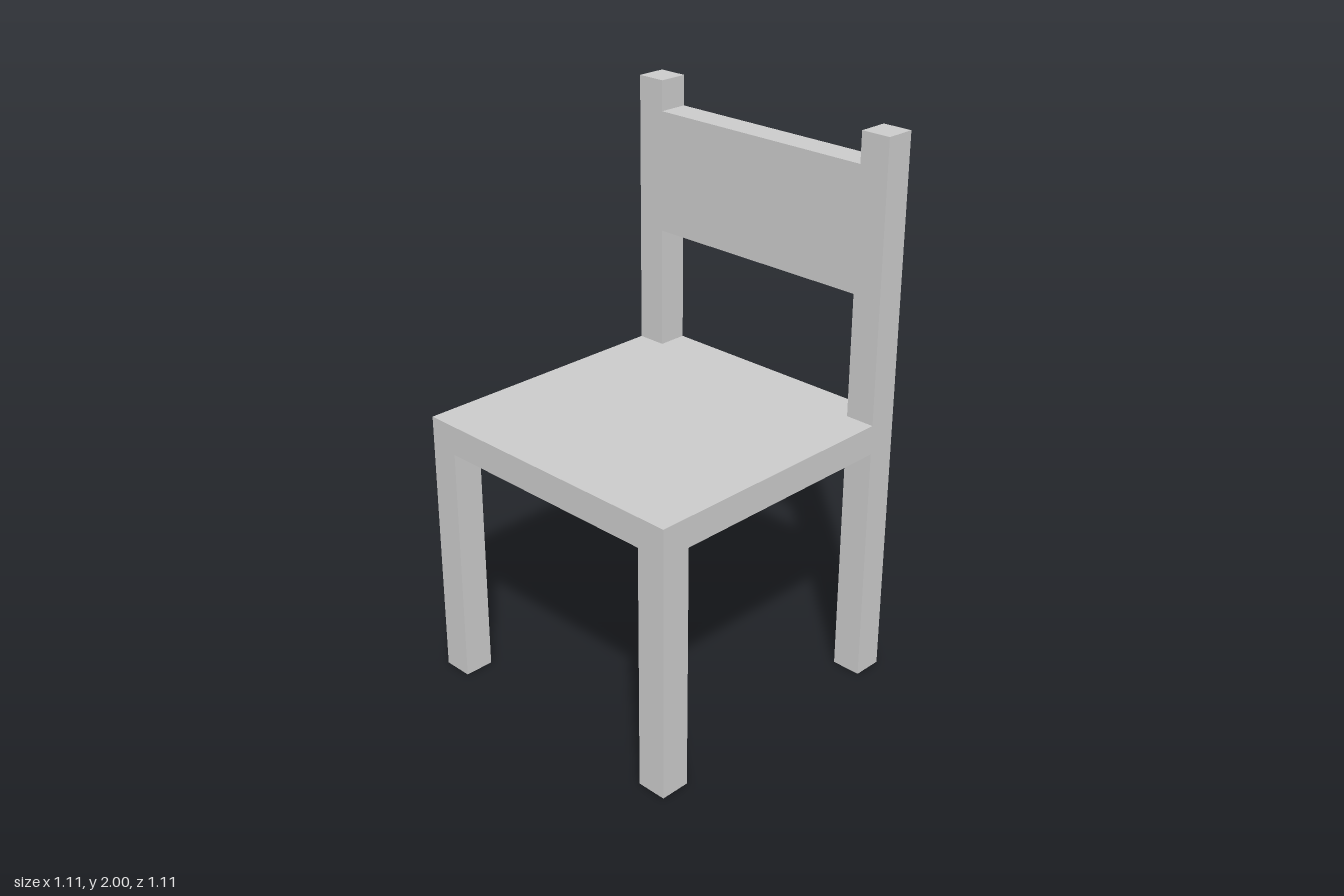
import * as THREE from 'three';

const HALF = 0.555;       // half the width and depth of the seat
const T = 0.11;           // thickness of legs, seat and backrest
const SEAT_TOP = 1.0;
const SEAT_BOTTOM = 0.893;
const INNER = HALF - T;   // inner faces of legs and posts
const CENTRE = HALF - T / 2;

export function createModel() {
  const chair = new THREE.Group();
  chair.name = 'chair';
  const material = new THREE.MeshStandardMaterial({ color: 0xcccccc, flatShading: true });

  // Box of the given width and depth, spanning y0 to y1
  const addBox = (name, width, depth, y0, y1, x, z) => {
    const mesh = new THREE.Mesh(new THREE.BoxGeometry(width, y1 - y0, depth), material);
    mesh.name = name;
    mesh.position.set(x, (y0 + y1) / 2, z);
    chair.add(mesh);
  };

  // Seat slab
  addBox('seat', 2 * HALF, 2 * HALF, SEAT_BOTTOM, SEAT_TOP, 0, 0);

  // Legs below the seat, and back posts above it
  for (const [side, s] of [['left', 1], ['right', -1]]) {
    addBox(`${side}FrontLeg`, T, T, 0, SEAT_BOTTOM, s * CENTRE, CENTRE);
    addBox(`${side}BackLeg`, T, T, 0, SEAT_BOTTOM, s * CENTRE, -CENTRE);
    addBox(`${side}BackPost`, T, T, SEAT_TOP, 2, s * CENTRE, -CENTRE);
  }

  // Backrest panel between the posts
  addBox('backrest', 2 * INNER, T, 1.447, 1.89, 0, -CENTRE);

  return chair;
}
